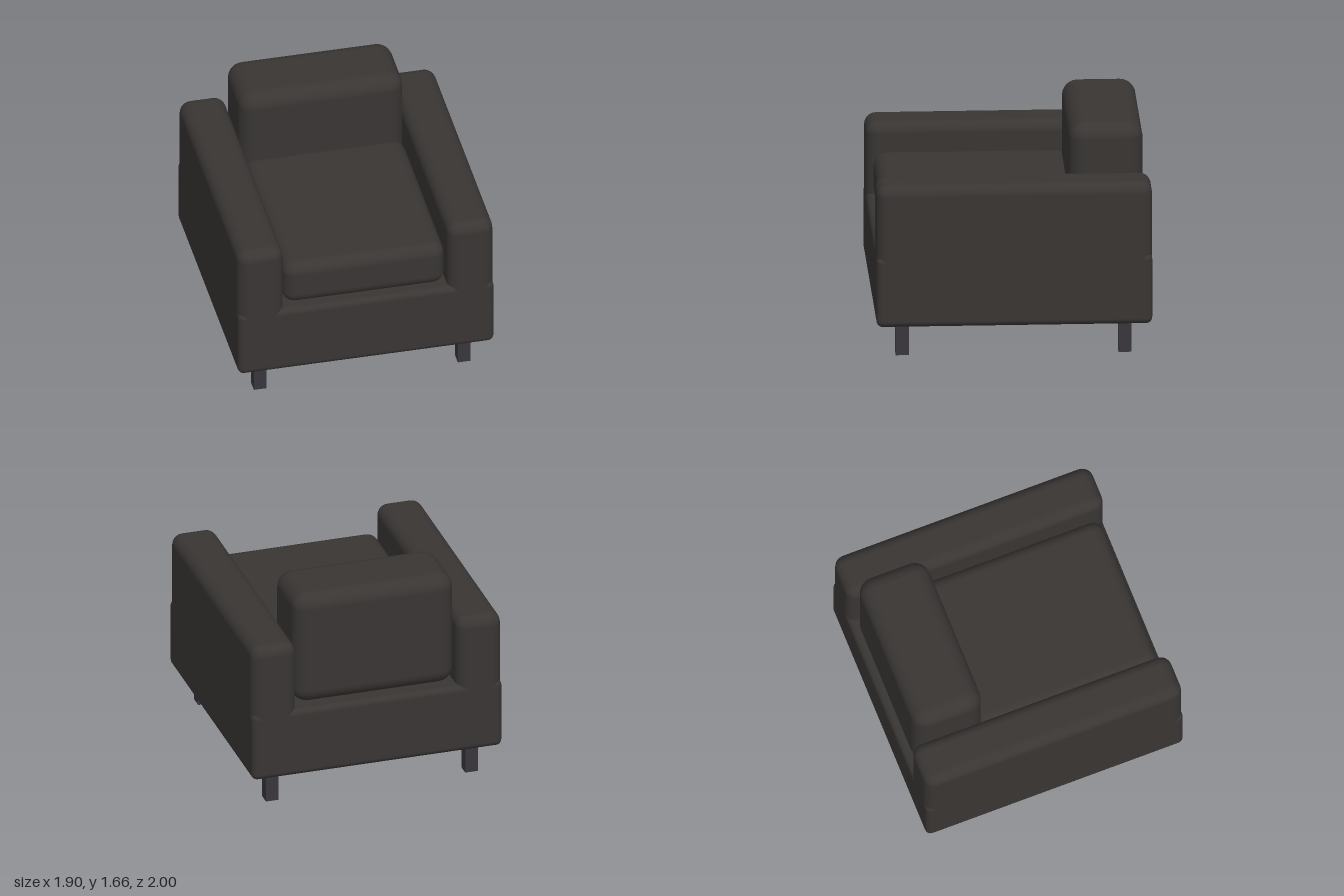
import * as THREE from 'three';
import { RoundedBoxGeometry } from 'three/addons/geometries/RoundedBoxGeometry.js';

export function createModel() {
  const model = new THREE.Group();
  model.name = 'armchair';
  const leather = new THREE.MeshStandardMaterial({ color: 0x383533 });
  const legPaint = new THREE.MeshStandardMaterial({ color: 0x38363c });

  // Box between two corners, rounded when a radius is given
  function block(name, min, max, radius, material) {
    const [w, h, d] = max.map((v, i) => v - min[i]);
    const geometry = radius
      ? new RoundedBoxGeometry(w, h, d, 3, radius)
      : new THREE.BoxGeometry(w, h, d);
    const mesh = new THREE.Mesh(geometry, material);
    mesh.name = name;
    mesh.position.set(...max.map((v, i) => (v + min[i]) / 2));
    model.add(mesh);
  }

  // Base and the two loose cushions
  block('base', [-0.95, 0.25, -1], [0.95, 0.78, 1], 0.045, leather);
  block('seatCushion', [-0.6, 0.78, -0.46], [0.6, 1.125, 0.95], 0.09, leather);
  block('backCushion', [-0.61, 0.78, -0.95], [0.61, 1.66, -0.415], 0.115, leather);

  // Arms and legs, mirrored left and right
  for (const side of [1, -1]) {
    const label = side > 0 ? 'left' : 'right';
    const span = (a, b) => (side > 0 ? [a, b] : [-b, -a]);
    const [armIn, armOut] = span(0.61, 0.95);
    block(label + 'Arm', [armIn, 0.6, -1], [armOut, 1.32, 1], 0.085, leather);

    const [legIn, legOut] = span(0.71, 0.805);
    block(label + 'FrontLeg', [legIn, 0, 0.76], [legOut, 0.27, 0.855], 0, legPaint);
    block(label + 'BackLeg', [legIn, 0, -0.855], [legOut, 0.27, -0.76], 0, legPaint);
  }
  return model;
}
